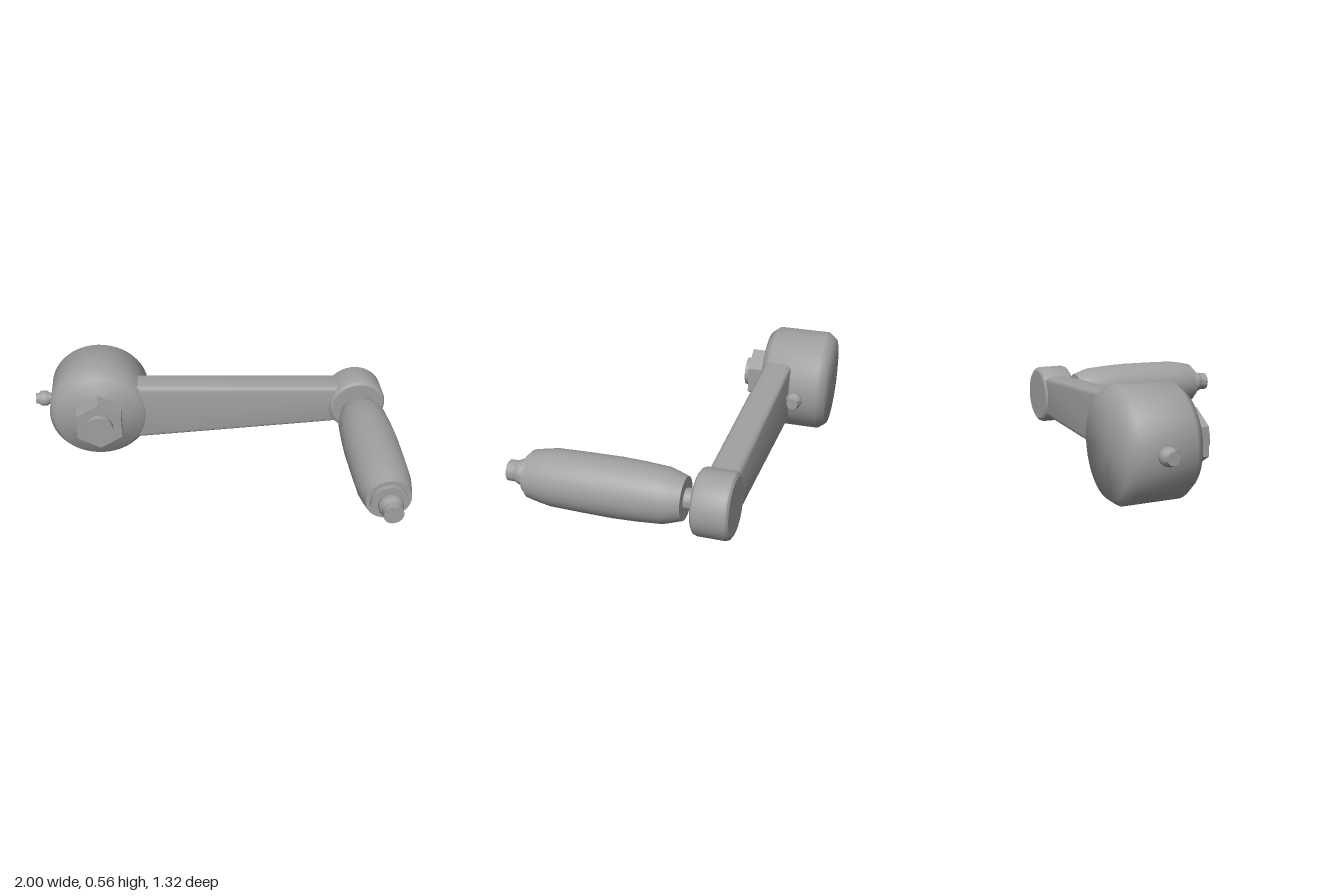
import * as THREE from 'three';
import { toCreasedNormals } from 'three/addons/utils/BufferGeometryUtils.js';

const CY = 0.28;            // height of both axes
const HUB_X = -0.632, GRIP_X = 0.836;

export function createModel() {
  const model = new THREE.Group();
  model.name = 'crankHandle';
  const steel = new THREE.MeshStandardMaterial({ color: 0xa0a0a0 });
  steel.name = 'greySteel';

  const add = (name, geometry) => {
    const mesh = new THREE.Mesh(geometry, steel);
    mesh.name = name;
    model.add(mesh);
    return mesh;
  };

  // Solid of revolution about z; profile is [radius, z] from back to front
  const turned = (name, x, profile, crease = 0.55, sides = 48) => {
    const pts = profile.map(([r, z]) => new THREE.Vector2(r, z));
    const geo = new THREE.LatheGeometry(pts, sides).rotateX(Math.PI / 2);
    return add(name, toCreasedNormals(geo, crease)).position.set(x, CY, 0);
  };

  // Hub with softened rims
  turned('hub', HUB_X, [[0, -0.66], [0.248, -0.66], [0.28, -0.617],
    [0.28, -0.337], [0.248, -0.295], [0, -0.295]], 1.05);

  // Hexagonal nut and bolt end, a corner pointing up
  turned('hubNut', HUB_X, [[0, -0.31], [0.143, -0.31], [0.143, -0.195],
    [0, -0.195]], 0.3, 6);
  turned('boltEnd', HUB_X, [[0, -0.2], [0.078, -0.2], [0.078, -0.163], [0, -0.163]]);

  // Tapered arm with rounded edges
  const b = 0.03;
  const outline = new THREE.Shape([
    new THREE.Vector2(-0.42 + b, CY - 0.17 + b),
    new THREE.Vector2(0.735 - b, CY - 0.118 + b),
    new THREE.Vector2(0.735 - b, CY + 0.118 - b),
    new THREE.Vector2(-0.42 + b, CY + 0.17 - b),
  ]);
  const arm = new THREE.ExtrudeGeometry(outline, {
    depth: 0.155 - 2 * b, bevelEnabled: true, bevelSize: b, bevelThickness: b, bevelSegments: 3,
  });
  arm.translate(0, 0, -0.465 + b);
  add('arm', toCreasedNormals(arm, 0.6));

  // Round boss that carries the grip
  turned('gripBoss', GRIP_X, [[0, -0.475], [0.142, -0.475], [0.156, -0.466],
    [0.162, -0.45], [0.162, -0.318], [0.156, -0.302], [0.142, -0.293], [0, -0.293]]);

  // Spindle through the grip
  turned('spindle', GRIP_X, [[0, -0.3], [0.052, -0.3], [0.052, -0.22], [0, -0.22]]);

  // Barrel-shaped grip
  turned('grip', GRIP_X, [[0, -0.235], [0.105, -0.235], [0.122, -0.185], [0.135, -0.14],
    [0.143, -0.02], [0.147, 0.1], [0.145, 0.26], [0.141, 0.42], [0.131, 0.48],
    [0.118, 0.54], [0, 0.54]]);

  // Washer, collar and spindle tip
  turned('washer', GRIP_X, [[0, 0.535], [0.095, 0.535], [0.095, 0.564], [0, 0.564]]);
  turned('collar', GRIP_X, [[0, 0.56], [0.056, 0.56], [0.064, 0.578], [0.064, 0.597],
    [0.053, 0.62], [0, 0.62]], 0.8);
  turned('spindleTip', GRIP_X, [[0, 0.6], [0.052, 0.6], [0.052, 0.66], [0, 0.66]]);

  // Grease nipples on both sides of the hub
  const nipple = toCreasedNormals(new THREE.LatheGeometry([
    [0, 0.25], [0.031, 0.25], [0.031, 0.288], [0.043, 0.306], [0.045, 0.322],
    [0.043, 0.338], [0.031, 0.354], [0.031, 0.368], [0, 0.368],
  ].map(([r, y]) => new THREE.Vector2(r, y)), 24), 0.9);
  for (const side of [-1, 1]) {
    const mesh = add(side < 0 ? 'rightNipple' : 'leftNipple', nipple);
    mesh.rotation.z = -side * Math.PI / 2;
    mesh.position.set(HUB_X, CY + 0.003, -0.505);
  }
  return model;
}
